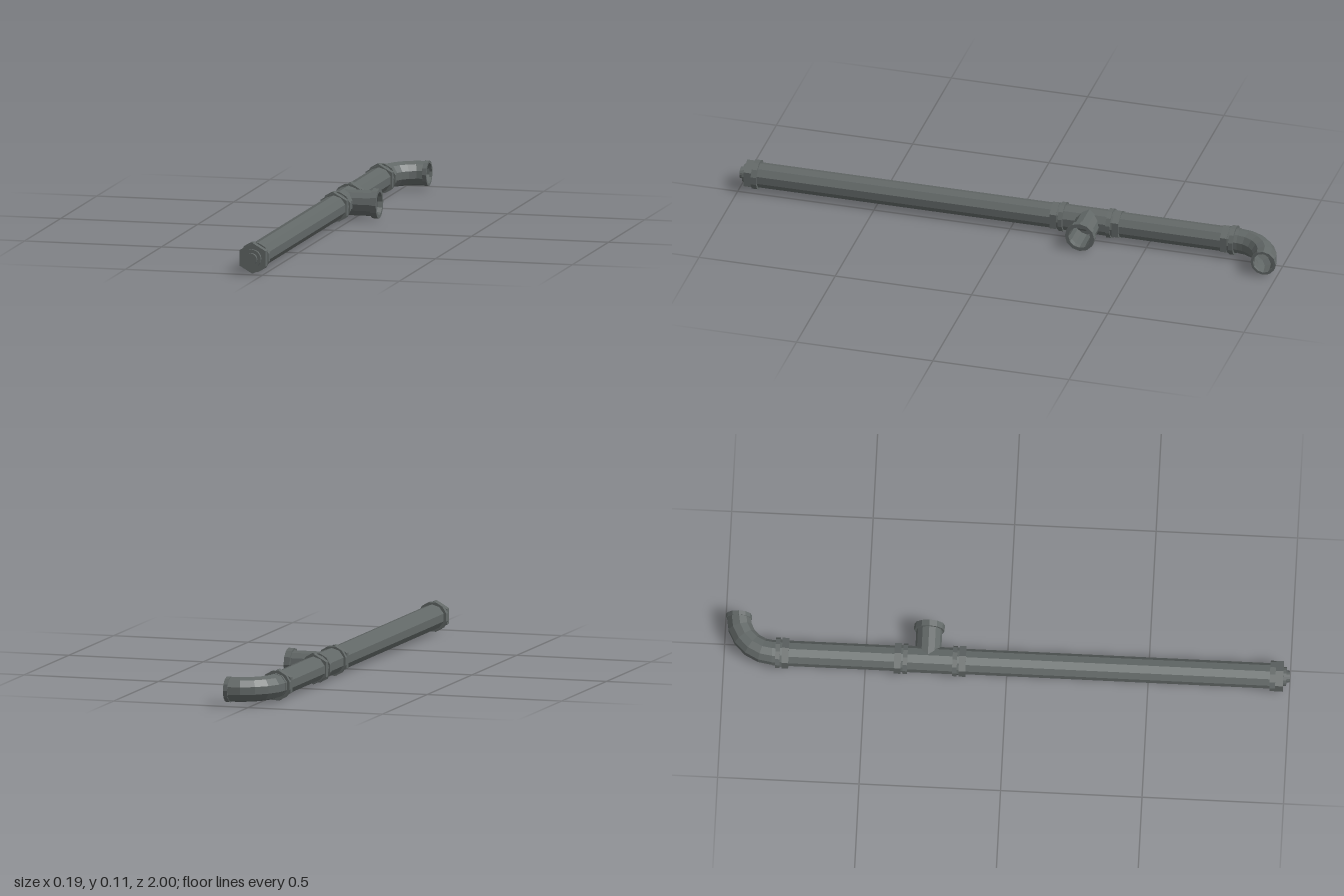
import * as THREE from 'three';

const AX = -0.042, AY = 0.056; // pipe axis
const SIDES = 10;

// circular bend from the straight run (facing -z) round to +x
class BendCurve extends THREE.Curve {
  constructor(cx, cz, r) { super(); this.cx = cx; this.cz = cz; this.r = r; }
  getPoint(t, target = new THREE.Vector3()) {
    const a = t * Math.PI / 2;
    return target.set(this.cx - this.r * Math.cos(a), AY, this.cz - this.r * Math.sin(a));
  }
}

export function createModel() {
  const model = new THREE.Group();
  model.name = 'pipeRun';
  const metal = new THREE.MeshStandardMaterial({ color: 0x626867, flatShading: true, side: THREE.DoubleSide });
  metal.name = 'greyMetal';

  const add = (name, geometry, parent = model) => {
    const mesh = new THREE.Mesh(geometry, metal);
    mesh.name = name;
    parent.add(mesh);
    return mesh;
  };
  // solid prism along the pipe axis between two z values
  const along = (name, z0, z1, r, sides = SIDES, turn = 0, parent = model) => {
    const g = new THREE.CylinderGeometry(r, r, z1 - z0, sides, 1, false, turn);
    g.rotateX(Math.PI / 2).translate(AX, AY, (z0 + z1) / 2);
    return add(name, g, parent);
  };
  // turned shape along +x, profile given as [radius, x]
  const turnedX = (name, profile, z) => {
    const g = new THREE.LatheGeometry(profile.map(p => new THREE.Vector2(...p)), 12);
    g.rotateZ(-Math.PI / 2).translate(0, AY, z);
    return add(name, g);
  };

  // straight pipes
  along('longPipe', -0.17, 0.95, 0.045);
  along('shortPipe', -0.8, -0.37, 0.045);

  // tee body and hollow branch with a collar
  along('teeBody', -0.385, -0.165, 0.047);
  turnedX('teeBranch', [
    [0.046, AX], [0.046, 0.068], [0.054, 0.068], [0.054, 0.09],
    [0.041, 0.09], [0.038, 0.075], [0.038, -0.005], [0, -0.005],
  ], -0.28);

  // couplings: a hex nut beside a round collar; dir points from nut to collar
  [[-0.16, -1], [-0.383, 1], [-0.786, -1]].forEach(([z, dir]) => {
    const coupling = new THREE.Group();
    coupling.name = 'coupling';
    model.add(coupling);
    const span = (name, a, b, r, sides, turn) =>
      along(name, Math.min(z + dir * a, z + dir * b), Math.max(z + dir * a, z + dir * b), r, sides, turn, coupling);
    span('hexNut', -0.015, 0.009, 0.055, 6, 0);
    span('couplingNeck', 0.009, 0.016, 0.049, 12, 0);
    span('collar', 0.016, 0.032, 0.054, 12, Math.PI / 12);
  });

  // end cap
  along('capCollar', 0.93, 0.95, 0.054, 12, Math.PI / 12);
  along('capHex', 0.95, 0.977, 0.055, 6);
  along('capStep', 0.977, 0.988, 0.033, 16);
  along('capStud', 0.988, 1.0, 0.021, 16);

  // hollow elbow with a thin lip at its mouth
  const bend = new BendCurve(0.086, -0.826, 0.128);
  add('elbow', new THREE.TubeGeometry(bend, 5, 0.044, SIDES));
  add('elbowBore', new THREE.TubeGeometry(bend, 5, 0.036, SIDES));
  along('elbowSocket', -0.83, -0.8, 0.045);
  turnedX('elbowLip', [
    [0.043, 0.079], [0.046, 0.079], [0.046, 0.094], [0.037, 0.094], [0.036, 0.084],
  ], -0.954);

  return model;
}
